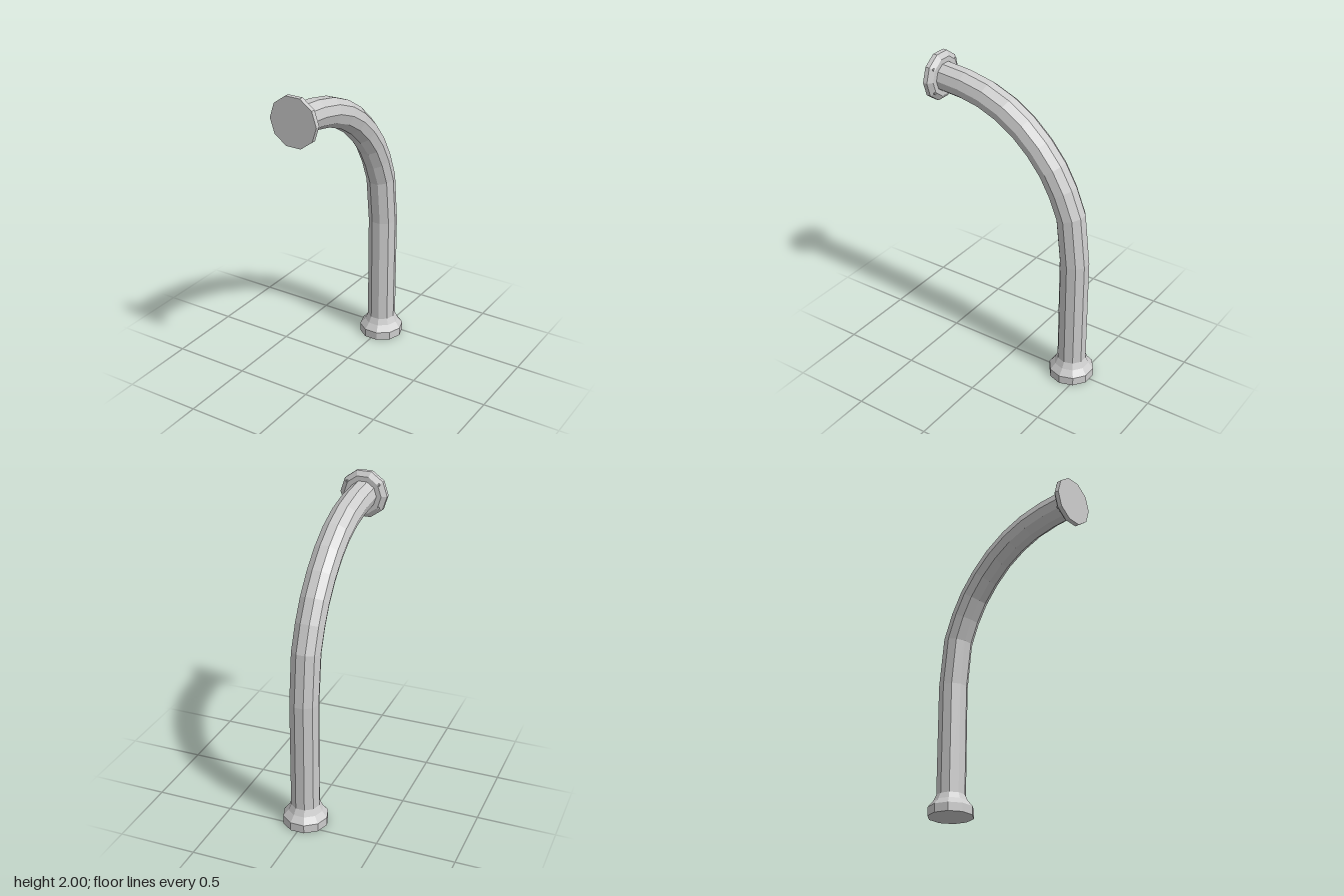
import * as THREE from 'three';

const SIDES = 10;

// Loft ten-sided rings, each [z, y, tilt in degrees, radius], and close both ends.
function loft(rings) {
  const pos = [], index = [];
  for (const [z, y, tilt, r] of rings) {
    const t = THREE.MathUtils.degToRad(tilt);
    for (let j = 0; j < SIDES; j++) {
      const a = (j / SIDES) * Math.PI * 2;
      const d = Math.sin(a) * r;
      pos.push(Math.cos(a) * r, y - d * Math.sin(t), z + d * Math.cos(t));
    }
  }
  const last = rings.length - 1;
  for (let i = 0; i < last; i++) {
    for (let j = 0; j < SIDES; j++) {
      const k = (j + 1) % SIDES;
      const a = i * SIDES + j, b = i * SIDES + k;
      index.push(a, a + SIDES, b, b, a + SIDES, b + SIDES);
    }
  }
  for (let j = 1; j < SIDES - 1; j++) {
    const e = last * SIDES;
    index.push(0, j, j + 1, e, e + j + 1, e + j);
  }
  const g = new THREE.BufferGeometry();
  g.setAttribute('position', new THREE.Float32BufferAttribute(pos, 3));
  g.setIndex(index);
  const flat = g.toNonIndexed();
  flat.computeVertexNormals();
  return flat;
}

export function createModel() {
  const group = new THREE.Group();
  const metal = new THREE.MeshStandardMaterial({ color: 0xcccccc, flatShading: true });
  metal.name = 'light grey metal';

  const add = (name, geometry) => {
    const mesh = new THREE.Mesh(geometry, metal);
    mesh.name = name;
    group.add(mesh);
    return mesh;
  };

  const footZ = -0.432, headY = 1.853, pipeR = 0.093;

  // Foot collar: straight rim with a concave flare up to the pipe
  add('footCollar', loft(
    [[0, 0.145], [0.055, 0.145], [0.095, 0.112], [0.135, pipeR]]
      .map(([y, r]) => [footZ, y, 0, r])
  ));

  // Upright pipe bending over towards the front
  const spine = [
    [footZ, 0.13, 0], [footZ, 0.855, 0], [-0.397, 1.168, 14],
    [-0.336, 1.32, 27], [-0.263, 1.448, 35], [-0.166, 1.566, 43],
    [-0.052, 1.669, 52], [0.076, 1.75, 61], [0.217, 1.807, 72],
    [0.369, 1.839, 82], [0.53, headY, 90],
  ];
  add('bentPipe', loft(spine.map((p) => [...p, pipeR])));

  // End flange with a bevelled back edge
  add('endFlange', loft(
    [[0.52, 0.125], [0.543, 0.157], [0.572, 0.157]]
      .map(([z, r]) => [z, headY, 90, r])
  ));

  // Small studs on the back of the flange
  for (const sx of [-1, 1]) {
    for (const sy of [-1, 1]) {
      const stud = add('flangeStud', new THREE.CylinderGeometry(0.01, 0.01, 0.02, 6));
      stud.rotation.x = Math.PI / 2;
      stud.position.set(sx * 0.105, headY + sy * 0.076, 0.532);
    }
  }
  return group;
}
